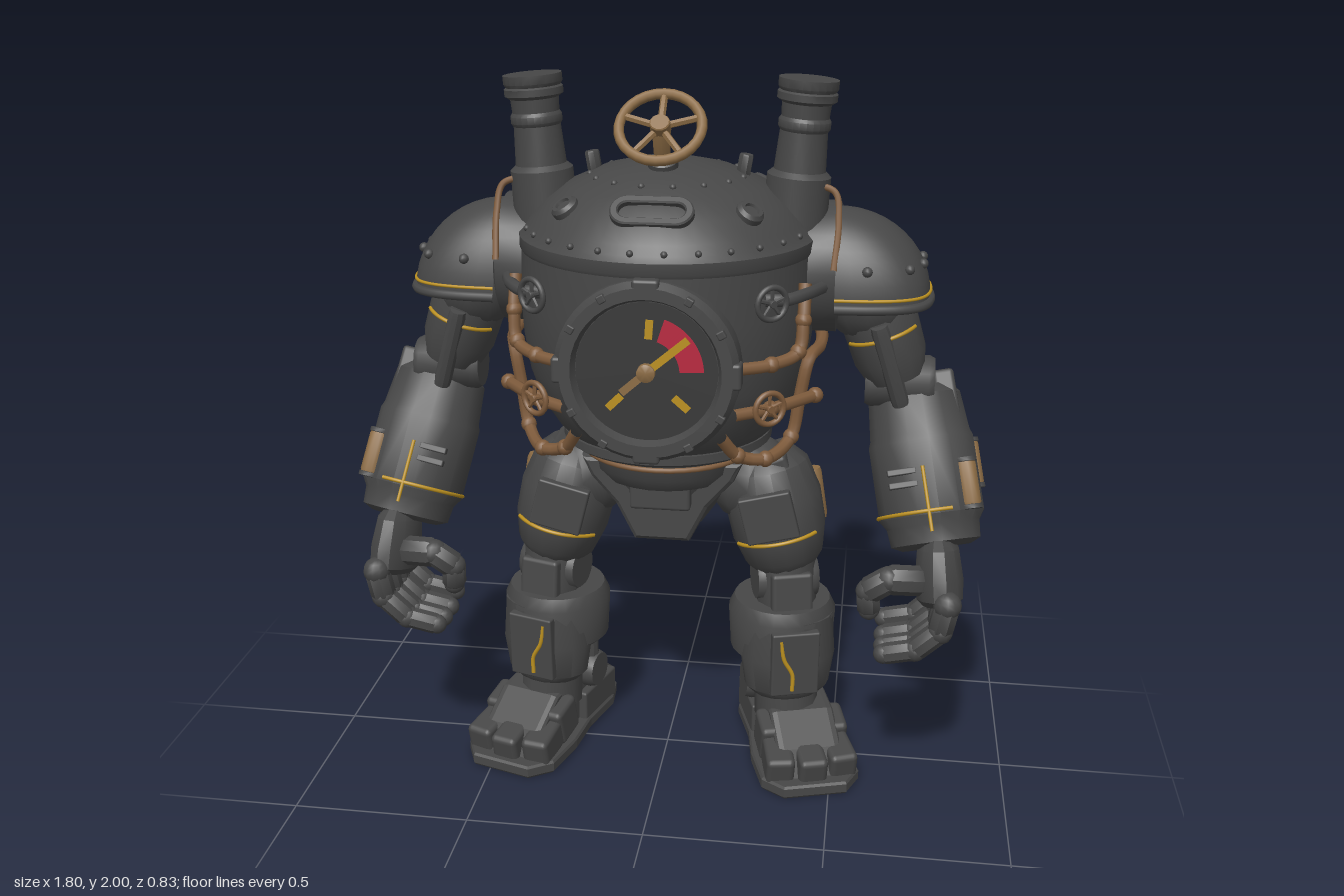
import * as THREE from 'three';
import { toCreasedNormals } from 'three/addons/utils/BufferGeometryUtils.js';
import { RoundedBoxGeometry } from 'three/addons/geometries/RoundedBoxGeometry.js';

const material = (name, color, side = THREE.FrontSide) =>
  Object.assign(new THREE.MeshStandardMaterial({ color, side }), { name });
const iron = material('dark iron', 0x474747);
const ironShell = material('dark iron shell', 0x474747, THREE.DoubleSide);
const black = material('dial black', 0x383838);
const brass = material('old brass', 0x8c6c45);
const copper = material('brown copper', 0x7e5b3c);
const yellow = material('worn yellow', 0xbb9020);
const red = material('gauge red', 0xb8283f);
const V = (p) => new THREE.Vector3(...p);
const outline = (pts) => new THREE.Shape(pts.map((p) => new THREE.Vector2(...p)));

function add(parent, name, geometry, mat, pos = [0, 0, 0], rot = [0, 0, 0]) {
  const mesh = new THREE.Mesh(geometry, mat);
  mesh.name = name;
  mesh.position.set(...pos);
  mesh.rotation.set(...rot);
  parent.add(mesh);
  return mesh;
}

// Matrix whose y axis runs from a to b
function frame(a, b) {
  const dir = V(b).sub(V(a)).normalize();
  const ref = Math.abs(dir.z) > 0.9 ? V([0, 1, 0]) : V([0, 0, 1]);
  const x = new THREE.Vector3().crossVectors(dir, ref).normalize();
  const z = new THREE.Vector3().crossVectors(x, dir);
  return new THREE.Matrix4().makeBasis(x, dir, z).setPosition(V(a));
}

// Solid of revolution from point a to b; profile is [radius, fraction along the axis]
function limb(parent, name, mat, a, b, profile, sides = 24, sx = 1, sz = 1) {
  const len = V(a).distanceTo(V(b));
  const pts = profile.map(([r, t]) => new THREE.Vector2(r, t * len));
  if (pts[0].x > 0) pts.unshift(new THREE.Vector2(0, pts[0].y));
  if (pts.at(-1).x > 0) pts.push(new THREE.Vector2(0, pts.at(-1).y));
  const geo = new THREE.LatheGeometry(pts, sides, Math.PI / sides);
  geo.scale(sx, 1, sz).applyMatrix4(frame(a, b));
  return add(parent, name, toCreasedNormals(geo, 0.6), mat);
}
const rod = (parent, name, mat, a, b, r, sides = 16) =>
  limb(parent, name, mat, a, b, [[r * 0.9, 0], [r, 0.08], [r, 0.92], [r * 0.9, 1]], sides);
const pipe = (parent, name, mat, pts, r) =>
  add(parent, name, new THREE.TubeGeometry(new THREE.CatmullRomCurve3(pts.map(V), false, 'centripetal'), 40, r, 8), mat);
const box = (parent, name, mat, size, pos, rot) =>
  add(parent, name, new RoundedBoxGeometry(...size, 2, Math.min(...size) * 0.2), mat, pos, rot);
const ball = (parent, name, mat, r, pos) => add(parent, name, new THREE.SphereGeometry(r, 12, 8), mat, pos);

// Thin yellow line round the axis a-b; angle 0 is the front, 90 degrees the outer side
function trimArc(parent, name, a, b, t, rx, rz, from, to) {
  const m = frame(a, b), len = V(a).distanceTo(V(b));
  const pts = Array.from({ length: 15 }, (_, i) => {
    const q = (from + (to - from) * i / 14) * Math.PI / 180;
    return V([rx * Math.sin(q), t * len, rz * Math.cos(q)]).applyMatrix4(m).toArray();
  });
  pipe(parent, name, yellow, pts, 0.0055);
}

function handWheel(parent, name, mat, centre, r, tube, rot) {
  const wheel = new THREE.Group();
  wheel.name = name;
  wheel.position.set(...centre);
  wheel.rotation.set(...rot);
  add(wheel, 'rim', new THREE.TorusGeometry(r, tube, 8, 28), mat);
  for (let i = 0; i < 5; i++) {
    const a = Math.PI / 2 + i * Math.PI * 0.4;
    rod(wheel, 'spoke', mat, [0, 0, 0], [r * Math.cos(a), r * Math.sin(a), 0], tube * 0.7, 6);
  }
  rod(wheel, 'hub', mat, [0, 0, -tube * 1.5], [0, 0, tube * 1.5], r * 0.25, 12);
  parent.add(wheel);
}

// Rounded slot outline, used for the oval hatches
const slot = (w, r, Type) => new Type().absarc(w, 0, r, -Math.PI / 2, Math.PI / 2).absarc(-w, 0, r, Math.PI / 2, Math.PI * 1.5);

function buildBody(g) {
  limb(g, 'boiler', iron, [0, 0, -0.01], [0, 1, -0.01], [[0.27, 1.02], [0.31, 1.06], [0.355, 1.13], [0.385, 1.22],
    [0.4, 1.32], [0.405, 1.42], [0.4, 1.56]], 48, 1, 0.98);
  limb(g, 'boilerDome', iron, [0, 0, -0.01], [0, 1, -0.01], [[0.4, 1.55], [0.405, 1.56], [0.405, 1.59], [0.39, 1.605],
    [0.375, 1.63], [0.33, 1.68], [0.27, 1.722], [0.18, 1.762], [0.08, 1.785], [0, 1.79]], 48, 1, 0.98);
  limb(g, 'waistFlange', iron, [0, 1.005, -0.01], [0, 1.04, -0.01], [[0.28, 0], [0.295, 0.3], [0.295, 1]], 40);
  // Rivets on the seam and the dome
  for (const [n, r, y] of [[28, 0.385, 1.612], [16, 0.21, 1.747]])
    for (let i = 0; i < n; i++) {
      const a = (i + 0.5) * 2 * Math.PI / n;
      ball(g, 'rivet', iron, 0.009, [r * Math.sin(a), y, r * Math.cos(a) - 0.01]);
    }
  // Oval hatches and round ports
  for (const s of [1, -1]) {
    const rim = slot(0.062, 0.042, THREE.Shape);
    rim.holes.push(slot(0.062, 0.028, THREE.Path));
    const hatch = add(g, 'ovalHatch', new THREE.ExtrudeGeometry(rim, { depth: 0.02, bevelSize: 0.004, bevelThickness: 0.004,
      bevelSegments: 1 }).rotateX(-0.88).translate(0, 1.69, 0.288), iron, [0, 0, -0.01]);
    hatch.rotation.y = s > 0 ? 0 : Math.PI;
    for (const t of [1, -1]) limb(g, 'domePort', iron, [t * 0.225, 1.66, s * 0.2 - 0.01], [t * 0.247, 1.7, s * 0.217 - 0.01],
      [[0.038, 0], [0.038, 0.8], [0.03, 1], [0.02, 1], [0.018, 0.85]], 16);
  }
  box(g, 'backLatch', iron, [0.04, 0.13, 0.03], [0, 1.33, -0.4]);
  // Steering valve on top
  rod(g, 'valveStem', brass, [0, 1.77, 0.08], [0, 1.885, 0.135], 0.022);
  rod(g, 'valveBase', iron, [0, 1.76, 0.075], [0, 1.8, 0.09], 0.04);
  handWheel(g, 'topValveWheel', brass, [0, 1.89, 0.135], 0.108, 0.014, [-0.82, 0, 0]);
}

function buildGauge(g) {
  limb(g, 'gaugeHousing', iron, [0, 1.31, 0.2], [0, 1.31, 0.41],
    [[0.225, 0], [0.24, 0.6], [0.24, 0.9], [0.225, 1], [0.195, 1], [0.185, 0.88], [0, 0.88]], 40);
  add(g, 'dialFace', new THREE.CircleGeometry(0.184, 40), black, [0, 1.31, 0.387]);
  add(g, 'dangerZone', new THREE.RingGeometry(0.085, 0.148, 24, 1, 0.03, 1.22), red, [0, 1.31, 0.389]);
  add(g, 'needle', new THREE.BoxGeometry(0.13, 0.02, 0.006), yellow, [0.057, 1.358, 0.394], [0, 0, 0.7]);
  add(g, 'needleTail', new THREE.BoxGeometry(0.06, 0.02, 0.006), brass, [-0.042, 1.273, 0.394], [0, 0, 0.72]);
  rod(g, 'needleHub', brass, [0, 1.31, 0.385], [0, 1.31, 0.405], 0.024);
  for (const [a, r] of [[-0.72, 0.12], [1.5, 0.115], [3.92, 0.115]])
    add(g, 'dialTick', new THREE.BoxGeometry(0.05, 0.02, 0.004), yellow,
      [r * Math.cos(a), 1.31 + r * Math.sin(a), 0.396], [0, 0, a]);
  for (let i = 0; i < 12; i++) {
    const a = i * Math.PI / 6, big = i % 3 === 0;
    box(g, 'gaugeBolt', iron, big ? [0.045, 0.07, 0.05] : [0.022, 0.022, 0.02],
      [0.222 * Math.cos(a), 1.31 + 0.222 * Math.sin(a), big ? 0.385 : 0.405], [0, 0, a]);
  }
}

function buildPelvis(g) {
  limb(g, 'waist', iron, [0, 0.9, -0.02], [0, 1.01, -0.02], [[0.2, 0], [0.23, 0.35], [0.24, 1]], 24);
  add(g, 'waistPipe', new THREE.TorusGeometry(0.238, 0.008, 8, 40).rotateX(Math.PI / 2), copper, [0, 0.975, -0.02]);
  limb(g, 'pelvis', iron, [0, 0.72, -0.03], [0, 0.96, -0.03], [[0.05, 0], [0.1, 0.06], [0.14, 0.3], [0.185, 0.6],
    [0.215, 0.85], [0.22, 1]], 24, 1, 0.95);
  const plate = outline([[-0.21, 0.96], [-0.19, 0.92], [-0.12, 0.84], [-0.07, 0.74], [0.07, 0.74], [0.12, 0.84],
    [0.19, 0.92], [0.21, 0.96]]);
  add(g, 'pelvisFront', new THREE.ExtrudeGeometry(plate, { depth: 0.1, bevelSize: 0.015, bevelThickness: 0.03, bevelSegments: 2 }),
    iron);
  box(g, 'pelvisPlate', iron, [0.17, 0.13, 0.05], [0, 0.9, 0.14]);
  rod(g, 'hipAxle', iron, [-0.26, 0.87, -0.04], [0.26, 0.87, -0.04], 0.075);
}

function buildStackAndPipes(g) {
  limb(g, 'smokestack', iron, [0.335, 1.55, -0.025], [0.37, 2, -0.025], [[0.09, 0], [0.086, 0.44], [0.07, 0.47], [0.064, 0.7],
    [0.07, 0.72], [0.07, 0.76], [0.064, 0.78], [0.066, 0.86], [0.08, 0.88], [0.08, 0.92], [0.074, 0.93], [0.08, 0.95], [0.08, 1]]);
  rod(g, 'domeKnob', iron, [0.2, 1.74, -0.02], [0.21, 1.8, -0.02], 0.02, 8);
  // Upper run, the loop that wraps round to the back, and the middle branch
  const runs = [
    [[0.22, 1.31, 0.34], [0.31, 1.31, 0.28], [0.375, 1.33, 0.22], [0.385, 1.41, 0.2], [0.385, 1.5, 0.17]],
    [[0.19, 1.13, 0.36], [0.23, 1.07, 0.32], [0.3, 1.05, 0.28], [0.36, 1.08, 0.18], [0.38, 1.19, 0.165], [0.4, 1.29, 0.15],
      [0.425, 1.3, 0.05], [0.42, 1.31, -0.08], [0.385, 1.33, -0.16]],
    [[0.22, 1.19, 0.35], [0.31, 1.19, 0.28], [0.42, 1.19, 0.15]]];
  for (const run of runs) {
    pipe(g, 'copperPipe', copper, run, 0.017);
    for (const p of run.slice(1, 4)) ball(g, 'pipeCollar', copper, 0.022, p);
  }
  pipe(g, 'upperIronPipe', iron, [[0.43, 1.47, 0.08], [0.39, 1.48, 0.2], [0.34, 1.48, 0.27], [0.29, 1.48, 0.28]], 0.017);
  pipe(g, 'stackPipe', copper, [[0.4, 1.73, 0.01], [0.45, 1.71, 0.02], [0.462, 1.64, 0.05], [0.455, 1.52, 0.11]], 0.009);
  handWheel(g, 'upperSideValve', iron, [0.31, 1.48, 0.31], 0.042, 0.008, [0, 0.6, 0]);
  handWheel(g, 'lowerSideValve', copper, [0.31, 1.2, 0.31], 0.042, 0.008, [0, 0.6, 0]);
}

function buildArm(g) {
  // Shoulder: quarter dome, widened toward its front and back
  rod(g, 'shoulderDisc', iron, [0.37, 1.49, -0.08], [0.47, 1.49, -0.08], 0.18, 32);
  const swell = (x, z) => x / (1 - 0.35 * z * z);
  const domeGeo = new THREE.SphereGeometry(1, 24, 12, Math.PI / 2, Math.PI, 0, Math.PI / 2);
  const p = domeGeo.attributes.position;
  for (let i = 0; i < p.count; i++) p.setX(i, swell(p.getX(i), p.getZ(i)));
  domeGeo.scale(0.255, 0.24, 0.185).computeVertexNormals();
  add(g, 'pauldron', domeGeo, ironShell, [0.46, 1.42, -0.055]);
  const arc = (y, k) => Array.from({ length: 13 }, (_, i) => {
    const a = -Math.PI / 2 + i * Math.PI / 12, z = k * Math.sin(a);
    return [0.46 + 0.255 * swell(k * Math.cos(a), z), y, -0.055 + 0.185 * z];
  });
  pipe(g, 'pauldronRim', iron, arc(1.42, 1), 0.013);
  pipe(g, 'pauldronTrim', yellow, arc(1.445, 1), 0.0045);
  for (const q of arc(1.52, 0.915).filter((_, i) => i % 2)) ball(g, 'pauldronRivet', iron, 0.014, q);
  // Upper arm and elbow
  ball(g, 'shoulderBall', iron, 0.13, [0.55, 1.42, -0.05]);
  const S = [0.555, 1.43, -0.055], E = [0.635, 1.19, -0.06];
  limb(g, 'upperArm', iron, S, E, [[0.11, 0], [0.118, 0.3], [0.113, 0.75], [0.09, 1]], 16, 0.9, 1);
  trimArc(g, 'upperArmTrim', S, E, 0.45, 0.105, 0.117, -60, 60);
  rod(g, 'elbowAxle', iron, [0.55, 1.17, -0.07], [0.74, 1.17, -0.07], 0.075);
  rod(g, 'armPiston', iron, [0.58, 1.36, 0.06], [0.65, 1.13, 0.02], 0.025, 10);
  // Forearm
  const A = [0.685, 1.13, -0.12], B = [0.77, 0.73, 0.07];
  const at = (t, dx = 0, dz = 0) => V(A).lerp(V(B), t).add(V([dx, 0, dz])).toArray();
  limb(g, 'forearm', iron, A, B, [[0.11, 0], [0.135, 0.06], [0.146, 0.3], [0.153, 0.34], [0.153, 0.8],
    [0.135, 0.86], [0.13, 0.97], [0.1, 1]], 16, 0.97, 0.92);
  // The axis points down here, so its inner side is at +90 degrees
  trimArc(g, 'forearmBand', A, B, 0.78, 0.149, 0.141, -25, 200);
  box(g, 'elbowGuard', iron, [0.06, 0.24, 0.19], at(0.17, 0.085, -0.02), [-0.45, 0, 0.2]);
  for (const [dx, dz] of [[0.115, 0.1], [0.13, -0.055]]) {
    rod(g, 'brassCanister', brass, at(0.36, dx, dz), at(0.64, dx, dz), 0.03, 12);
    for (const t of [0.34, 0.63]) rod(g, 'canisterClamp', iron, at(t, dx, dz), at(t + 0.03, dx, dz), 0.032, 12);
  }
  for (const t of [0.42, 0.5]) box(g, 'forearmVent', iron, [0.08, 0.018, 0.02], at(t, -0.06, 0.14), [-0.45, 0, 0.2]);
  pipe(g, 'forearmTrim', yellow, [at(0.36, 0, 0.156), at(0.76, 0, 0.156)], 0.005);
  // Hand
  limb(g, 'palm', iron, [0.77, 0.77, 0.095], [0.785, 0.595, 0.15], [[0.07, 0], [0.095, 0.15], [0.11, 0.6], [0.105, 0.9], [0.08, 1]],
    12, 0.62, 1.2);
  for (let i = 0; i < 4; i++) {
    const z = 0.05 + i * 0.067, lift = i === 0 ? 0.02 : i === 3 ? 0.01 : 0;
    const joints = [[0.8, 0.63], [0.785, 0.55], [0.72, 0.487], [0.635, 0.467]].map(([x, y], k) => [x, y + lift, z - k * 0.003]);
    for (let k = 0; k < 3; k++) {
      rod(g, 'fingerSegment', iron, joints[k], joints[k + 1], 0.036 - k * 0.003, 8);
      ball(g, 'knuckle', iron, 0.039 - k * 0.003, joints[k]);
    }
    ball(g, 'fingertip', iron, 0.028, joints[3]);
  }
  const thumb = [[0.73, 0.68, 0.19], [0.64, 0.69, 0.215], [0.585, 0.65, 0.21], [0.59, 0.59, 0.2]];
  for (let k = 0; k < 3; k++) {
    rod(g, 'thumbSegment', iron, thumb[k], thumb[k + 1], 0.042 - k * 0.004, 8);
    ball(g, 'thumbJoint', iron, 0.038 - k * 0.004, thumb[k + 1]);
  }
}

function buildLeg(g) {
  // Thigh
  ball(g, 'hipBall', iron, 0.13, [0.24, 0.86, -0.06]);
  const H = [0.27, 0.945, -0.07], K = [0.345, 0.61, -0.04];
  limb(g, 'thigh', iron, H, K, [[0.09, 0], [0.13, 0.12], [0.152, 0.4], [0.148, 0.7], [0.125, 0.92], [0.1, 1]], 16, 0.92, 1.05);
  trimArc(g, 'thighBand', H, K, 0.7, 0.137, 0.156, -55, 55);
  box(g, 'hipGuard', iron, [0.07, 0.22, 0.18], [0.345, 0.855, -0.05], [0, 0, 0.4]);
  rod(g, 'thighCanister', brass, [0.405, 0.88, -0.11], [0.43, 0.73, -0.1], 0.03, 12);
  box(g, 'thighPlate', iron, [0.15, 0.14, 0.03], [0.3, 0.8, 0.09], [0, 0, 0.25]);
  // Lower leg, turned outward
  const low = new THREE.Group();
  low.name = 'lowerLeg';
  low.position.set(0.345, 0, -0.02);
  low.rotation.y = 0.3;
  g.add(low);
  rod(low, 'kneeAxle', iron, [-0.09, 0.57, -0.01], [0.09, 0.57, -0.01], 0.07);
  limb(low, 'kneeBlock', iron, [0, 0.64, 0], [0, 0.44, 0.01], [[0.085, 0], [0.09, 0.3], [0.09, 0.8], [0.08, 1]], 12);
  box(low, 'kneeCap', iron, [0.12, 0.13, 0.06], [0, 0.55, 0.07], [-0.1, 0, 0]);
  limb(low, 'shinCup', iron, [-0.005, 0.33, -0.01], [-0.005, 0.51, -0.01], [[0.125, 0], [0.15, 0.12], [0.157, 0.8], [0.14, 1]], 24);
  limb(low, 'shinGuard', iron, [0, 0.23, 0.05], [0, 0.48, 0.05], [[0.1, 0], [0.125, 0.1], [0.14, 0.5], [0.13, 1]], 16, 1, 0.72);
  box(low, 'shinPlate', iron, [0.14, 0.2, 0.03], [0, 0.36, 0.14], [0.03, 0, 0]);
  pipe(low, 'shinTrim', yellow, [[-0.045, 0.44, 0.153], [-0.035, 0.38, 0.156], [-0.01, 0.33, 0.157], [-0.01, 0.28, 0.158]], 0.006);
  limb(low, 'lowerShin', iron, [0.01, 0.13, 0.02], [0, 0.38, 0.01], [[0.095, 0], [0.09, 1]], 12);
  for (const x of [-0.07, 0.07]) rod(low, 'anklePiston', iron, [x, 0.15, -0.09], [x, 0.36, -0.08], 0.026, 10);
  rod(low, 'ankleAxle', iron, [-0.1, 0.19, -0.09], [0.12, 0.19, -0.09], 0.058);
  // Foot
  const foot = new THREE.Group();
  foot.name = 'foot';
  foot.position.set(0.035, 0, 0.005);
  low.add(foot);
  const sole = outline([[-0.09, -0.28], [0.09, -0.28], [0.12, -0.2], [0.12, -0.05], [0.14, 0.08], [0.14, 0.22], [0.09, 0.28],
    [-0.09, 0.28], [-0.14, 0.22], [-0.14, 0.08], [-0.12, -0.05], [-0.12, -0.2]]);
  add(foot, 'sole', new THREE.ExtrudeGeometry(sole, { depth: 0.025, bevelSize: 0.005, bevelThickness: 0.007, bevelSegments: 1 })
    .rotateX(Math.PI / 2), iron, [0, 0.035, 0]);
  const instep = outline([[-0.26, 0.03], [-0.26, 0.1], [-0.18, 0.165], [0, 0.185], [0.1, 0.175], [0.2, 0.11], [0.24, 0.03]]);
  add(foot, 'instep', new THREE.ExtrudeGeometry(instep, { depth: 0.15, bevelSize: 0.01, bevelThickness: 0.02, bevelSegments: 2 })
    .translate(0, 0, -0.075).rotateY(-Math.PI / 2), iron);
  for (const x of [-0.088, 0, 0.088]) {
    box(foot, 'toe', iron, [0.083, 0.095, 0.15], [x, 0.075, 0.195 - Math.abs(x) * 0.2], [0.2, x, 0]);
    box(foot, 'toeKnuckle', iron, [0.083, 0.12, 0.11], [x, 0.105, 0.09], [0.25, 0, 0]);
  }
  for (const x of [-0.1, 0.1]) box(foot, 'heelBlock', iron, [0.04, 0.1, 0.2], [x, 0.08, -0.13]);
}

export function createModel() {
  const model = new THREE.Group();
  model.name = 'boilerRobot';
  const part = (name, build, mirrored) => {
    const g = new THREE.Group();
    g.name = name;
    build(g);
    if (mirrored) g.scale.x = -1;
    model.add(g);
  };
  part('body', buildBody);
  part('gauge', buildGauge);
  part('pelvisAssembly', buildPelvis);
  for (const side of ['left', 'right']) {
    const m = side === 'right';
    part(side + 'StackAndPipes', buildStackAndPipes, m);
    part(side + 'Arm', buildArm, m);
    part(side + 'Leg', buildLeg, m);
  }
  return model;
}
